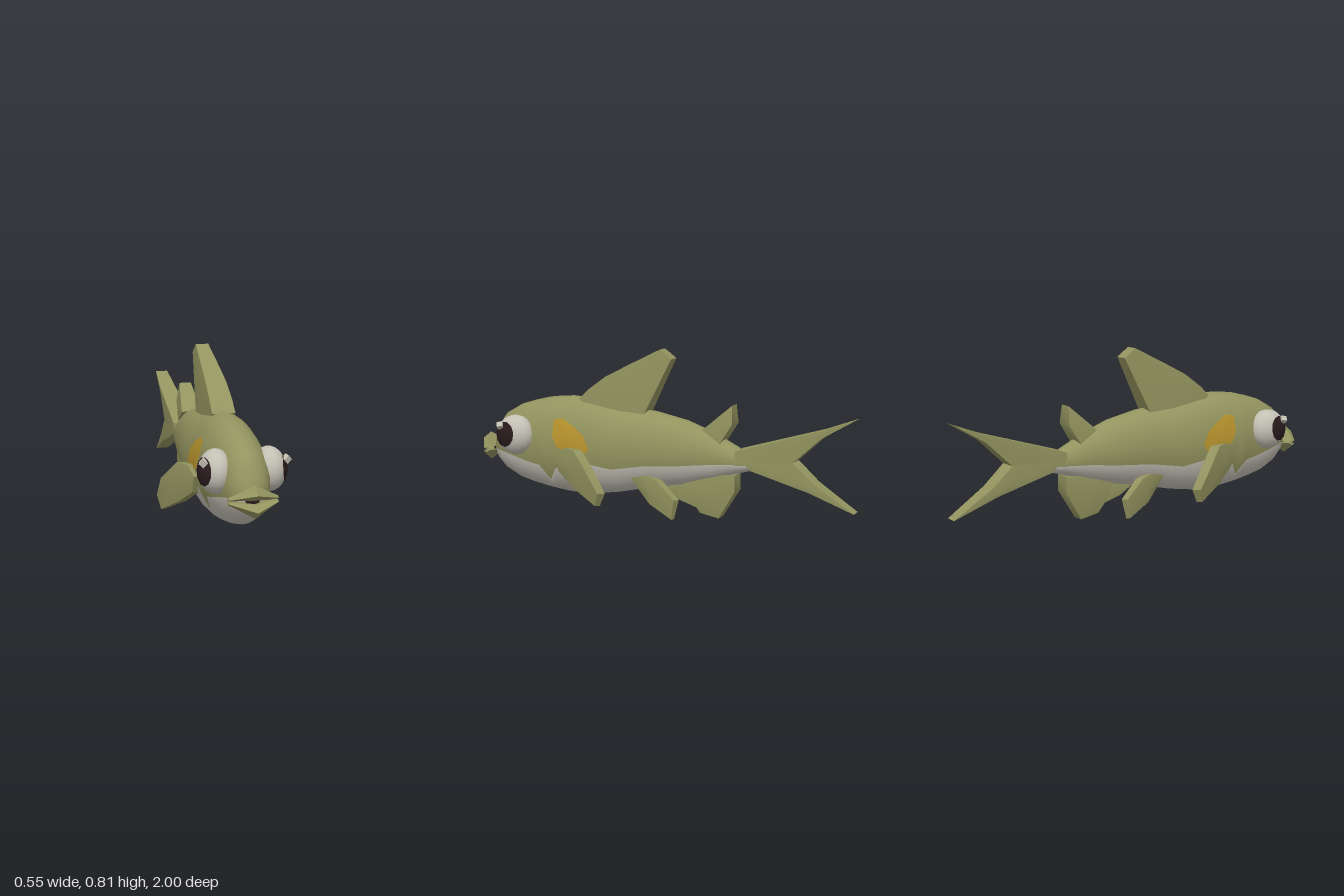
import * as THREE from 'three';
import { toCreasedNormals } from 'three/addons/utils/BufferGeometryUtils.js';

const paint = (name, color) => Object.assign(new THREE.MeshStandardMaterial({ color }), { name });

// Body stations: z, top y, bottom y, half width, y of the belly colour line
const STATIONS = [
  [0.91, 0.31, 0.24, 0.03, 0.27],
  [0.88, 0.39, 0.2, 0.075, 0.27],
  [0.84, 0.455, 0.16, 0.098, 0.265],
  [0.76, 0.5, 0.12, 0.12, 0.25],
  [0.68, 0.525, 0.1, 0.132, 0.23],
  [0.6, 0.545, 0.085, 0.14, 0.215],
  [0.55, 0.552, 0.078, 0.143, 0.14],
  [0.51, 0.556, 0.073, 0.145, 0.2],
  [0.46, 0.56, 0.068, 0.146, 0.245],
  [0.36, 0.555, 0.065, 0.146, 0.25],
  [0.2, 0.525, 0.09, 0.142, 0.225],
  [0.02, 0.51, 0.13, 0.128, 0.255],
  [-0.15, 0.475, 0.16, 0.105, 0.265],
  [-0.3, 0.42, 0.195, 0.08, 0.28],
  [-0.42, 0.36, 0.235, 0.06, 0.285],
  [-0.53, 0.3, 0.265, 0.03, 0.285],
];

function makeGeometry(positions, index) {
  const g = new THREE.BufferGeometry();
  g.setAttribute('position', new THREE.Float32BufferAttribute(positions, 3));
  g.setIndex(index);
  g.computeVertexNormals();
  return g;
}

// Elliptical loft: group 0 is the back, group 1 the belly
function bodyGeometry() {
  const UP = 14, N = 26, pos = [], back = [], belly = [];
  for (const [z, top, bottom, w, line] of STATIONS) {
    const c = (top + bottom) / 2, h = (top - bottom) / 2;
    const a = Math.asin((line - c) / h);
    for (let i = 0; i < N; i++) {
      const t = i < UP
        ? a + (Math.PI - 2 * a) * i / UP
        : Math.PI - a + (Math.PI + 2 * a) * (i - UP) / (N - UP);
      pos.push(w * Math.cos(t), c + h * Math.sin(t), z);
    }
  }
  const last = STATIONS.length - 1;
  for (let s = 0; s < last; s++) for (let i = 0; i < N; i++) {
    const a = s * N + i, b = s * N + (i + 1) % N;
    (i < UP ? back : belly).push(a, b, a + N, b, b + N, a + N);
  }
  pos.push(0, 0.275, 0.915, 0, 0.283, -0.54);
  const nose = (last + 1) * N;
  for (let i = 0; i < N; i++) {
    const j = (i + 1) % N;
    back.push(nose, i, j, nose + 1, last * N + j, last * N + i);
  }
  // Reverse any inward winding: back strips run from front to rear
  const g = makeGeometry(pos, [...back, ...belly].map((v, k, all) => v));
  const p = g.attributes.position, ix = g.index;
  for (let k = 0; k < ix.count; k += 3) {
    const [A, B, C] = [0, 1, 2].map(o => new THREE.Vector3().fromBufferAttribute(p, ix.getX(k + o)));
    const mid = A.clone().add(B).add(C).divideScalar(3);
    const n = B.clone().sub(A).cross(C.clone().sub(A));
    if (n.dot(mid.sub(new THREE.Vector3(0, 0.29, THREE.MathUtils.clamp(mid.z, -0.5, 0.85)))) < 0) {
      const t = ix.getX(k + 1);
      ix.setX(k + 1, ix.getX(k + 2));
      ix.setX(k + 2, t);
    }
  }
  g.computeVertexNormals();
  g.addGroup(0, back.length, 0);
  g.addGroup(back.length, belly.length, 1);
  return g;
}

// Half width of the body at a given z and y
function bodyX(z, y) {
  const s = Math.max(1, STATIONS.findIndex(r => r[0] <= z));
  const A = STATIONS[s - 1], B = STATIONS[s], f = (A[0] - z) / (A[0] - B[0]);
  const [top, bottom, w] = [1, 2, 3].map(k => A[k] + (B[k] - A[k]) * f);
  return w * Math.sqrt(Math.max(0, 1 - ((2 * y - top - bottom) / (top - bottom)) ** 2));
}

// Thick fin from an outline of [x, y, z, half thickness], swollen at its centre
function finGeometry(outline, normal, swell) {
  const n = new THREE.Vector3(...normal).normalize();
  let pts = outline.map(p => ({ v: new THREE.Vector3(p[0], p[1], p[2]), t: p[3] }));
  const N = pts.length, c = new THREE.Vector3();
  pts.forEach(p => c.addScaledVector(p.v, 1 / N));
  let area = 0;
  pts.forEach((p, i) => {
    area += p.v.clone().sub(c).cross(pts[(i + 1) % N].v.clone().sub(c)).dot(n);
  });
  if (area < 0) pts = pts.reverse();
  const pos = [], idx = [];
  for (const s of [1, -1]) {
    pts.forEach(p => pos.push(...p.v.clone().addScaledVector(n, s * p.t)));
    pos.push(...c.clone().addScaledVector(n, s * swell));
  }
  const M = N + 1;
  for (let i = 0; i < N; i++) {
    const j = (i + 1) % N;
    idx.push(N, i, j, M + N, M + j, M + i, i, M + i, j, j, M + i, M + j);
  }
  return toCreasedNormals(makeGeometry(pos, idx), 0.7);
}

// Chevron lip; s = 1 for the upper, -1 for the lower
function lipGeometry(s) {
  const mid = 0.268, pos = [], idx = [];
  const section = [[1, 0.037], [0.955, 0.072], [0.9, 0.015], [0.965, 0.01]];
  for (const x of [-0.11, 0, 0.11]) for (const [z, y] of section) {
    const k = x ? 0.22 : 1;
    pos.push(x, mid + s * y * k, x ? 0.915 + (z - 0.95) * 0.35 : z);
  }
  const tri = (a, b, c) => (s > 0 ? idx.push(a, b, c) : idx.push(a, c, b));
  for (const r of [0, 4]) for (let i = 0; i < 4; i++) {
    const a = r + i, b = r + (i + 1) % 4;
    tri(a, a + 4, b);
    tri(b, a + 4, b + 4);
  }
  tri(0, 1, 2); tri(0, 2, 3);
  tri(8, 10, 9); tri(8, 11, 10);
  return toCreasedNormals(makeGeometry(pos, idx), 0.5);
}

// Thin patch that follows the flank
function patchGeometry(side) {
  const edge = [[0.515, 0.45], [0.465, 0.46], [0.4, 0.425], [0.345, 0.385], [0.31, 0.32],
    [0.36, 0.27], [0.42, 0.29], [0.49, 0.32], [0.515, 0.37]];
  const cz = 0.42, cy = 0.37, N = edge.length, R = 4, pos = [], idx = [];
  const put = (z, y) => pos.push(side * (bodyX(z, y) + 0.004), y, z);
  put(cz, cy);
  for (let r = 1; r <= R; r++) for (const [z, y] of edge) put(cz + (z - cz) * r / R, cy + (y - cy) * r / R);
  const tri = (a, b, c) => (side > 0 ? idx.push(a, c, b) : idx.push(a, b, c));
  for (let i = 0; i < N; i++) {
    const j = (i + 1) % N;
    tri(0, 1 + i, 1 + j);
    for (let r = 0; r < R - 1; r++) {
      const a = 1 + r * N + i, b = 1 + r * N + j;
      tri(a, a + N, b);
      tri(b, a + N, b + N);
    }
  }
  return makeGeometry(pos, idx);
}

export function createModel() {
  const olive = paint('olive', 0x93945f), pale = paint('pale belly', 0xc3c0b4);
  const gold = paint('gold', 0xb8942e), dark = paint('dark', 0x2a1b1d);
  const fish = new THREE.Group();
  fish.name = 'fish';
  const add = (name, geometry, material) => {
    const m = new THREE.Mesh(geometry, material);
    m.name = name;
    fish.add(m);
    return m;
  };

  add('body', bodyGeometry(), [olive, pale]);

  // Fins on the centre line, outlines as z, y, half thickness
  const centreFin = (name, swell, pts) =>
    add(name, finGeometry(pts.map(([z, y, t]) => [0, y, z, t]), [1, 0, 0], swell), olive);
  centreFin('dorsalFin', 0.054, [[0.41, 0.55, 0.055], [0.36, 0.6, 0.054], [0.265, 0.67, 0.05], [0.14, 0.735, 0.042],
    [-0.02, 0.815, 0.031], [-0.08, 0.77, 0.033], [0.06, 0.49, 0.05], [0.3, 0.49, 0.055]]);
  centreFin('rearDorsalFin', 0.05, [[-0.25, 0.44, 0.05], [-0.395, 0.565, 0.03], [-0.4, 0.475, 0.045], [-0.34, 0.38, 0.05]]);
  centreFin('analFin', 0.055, [[-0.15, 0.17, 0.035], [-0.19, 0.09, 0.04], [-0.235, 0.03, 0.033], [-0.33, 0.01, 0.03],
    [-0.415, 0.15, 0.04], [-0.415, 0.23, 0.04], [-0.25, 0.22, 0.04]]);
  centreFin('upperTailLobe', 0.05, [[-0.42, 0.35, 0.057], [-0.84, 0.475, 0.042], [-1, 0.535, 0.032],
    [-0.84, 0.44, 0.04], [-0.705, 0.315, 0.046], [-0.42, 0.28, 0.057]]);
  centreFin('lowerTailLobe', 0.05, [[-0.42, 0.33, 0.057], [-0.705, 0.315, 0.046], [-0.81, 0.22, 0.042],
    [-1, 0.095, 0.032], [-0.78, 0.18, 0.042], [-0.5, 0.262, 0.055]]);

  // Mouth
  add('upperLip', lipGeometry(1), olive);
  add('lowerLip', lipGeometry(-1), olive);
  const throat = add('throat', new THREE.SphereGeometry(0.035, 10, 8), dark);
  throat.position.set(0, 0.268, 0.9);

  // Paired parts
  for (const side of [1, -1]) {
    const label = side > 0 ? 'left' : 'right';
    const sideFin = (name, normal, swell, pts) => add(label + name,
      finGeometry(pts.map(([x, y, z, t]) => [x * side, y, z, t]), [normal[0] * side, normal[1], normal[2]], swell), olive);
    sideFin('PectoralFin', [0.85, 0.1, 0.5], 0.036, [[0.145, 0.28, 0.49, 0.02], [0.155, 0.32, 0.42, 0.025],
      [0.19, 0.32, 0.35, 0.025], [0.245, 0.225, 0.25, 0.025], [0.254, 0.13, 0.19, 0.022],
      [0.245, 0.065, 0.215, 0.014], [0.185, 0.135, 0.36, 0.025], [0.145, 0.2, 0.46, 0.022]]);
    sideFin('PelvicFin', [0.9, 0.15, 0.35], 0.032, [[0.085, 0.185, 0.095, 0.02], [0.1, 0.205, 0.01, 0.025],
      [0.125, 0.195, -0.055, 0.022], [0.152, 0.11, -0.16, 0.018], [0.15, 0.012, -0.14, 0.01],
      [0.115, 0.07, -0.02, 0.022], [0.09, 0.125, 0.045, 0.02]]);

    add(label + 'FlankPatch', patchGeometry(side), gold);

    // Eye, with the pupil as a cap over the white
    const eye = new THREE.Group();
    eye.name = label + 'Eye';
    eye.position.set(side * 0.12, 0.36, 0.735);
    const white = new THREE.Mesh(new THREE.SphereGeometry(1, 20, 14).scale(0.077, 0.1, 0.1), pale);
    white.name = 'eyeball';
    const look = new THREE.Quaternion().setFromUnitVectors(
      new THREE.Vector3(0, 1, 0), new THREE.Vector3(side * 0.9, 0.09, 0.36).normalize());
    const cap = new THREE.SphereGeometry(1.05, 11, 5, 0, Math.PI * 2, 0, 0.66);
    cap.applyQuaternion(look).scale(0.077, 0.1, 0.1);
    const pupil = new THREE.Mesh(cap, dark);
    pupil.name = 'pupil';
    const glint = new THREE.Mesh(new THREE.BoxGeometry(0.028, 0.028, 0.028), pale);
    glint.name = 'glint';
    glint.position.set(side * 0.066, 0.052, 0.052);
    glint.rotation.set(0.2, 0.3 * side, side * 0.7);
    eye.add(white, pupil, glint);
    fish.add(eye);
  }
  return fish;
}
